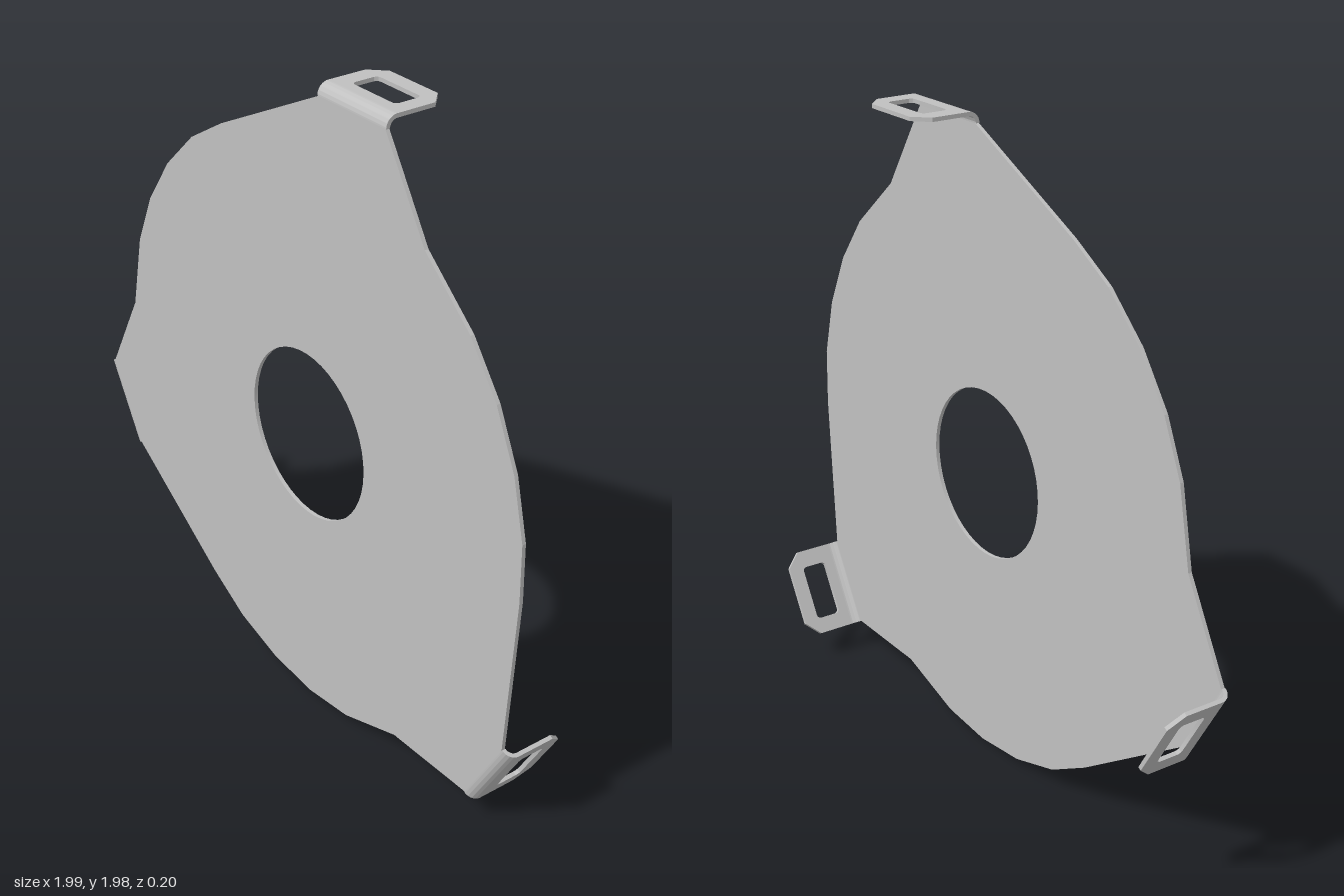
import * as THREE from 'three';
import { toCreasedNormals } from 'three/addons/utils/BufferGeometryUtils.js';

const CX = 0.0925, CY = 0.91;         // centre of the three-fold symmetry
const T = 0.012, R = 0.035;           // sheet thickness, outer bend radius
const X0 = 0.047, X1 = 0.33, TOP = 1.07; // tab edges and height, from the centre
const FRONT = 0.1;
const THIRD = Math.PI * 2 / 3;

const points = list => list.map(([x, y]) => new THREE.Vector2(x, y));
const extrude = (shape, depth) => new THREE.ExtrudeGeometry(shape, { depth, bevelEnabled: false, curveSegments: 24 });

// Flat disc with three pointed shoulders and a round centre hole
function plateGeometry() {
  const third = points([
    [X1 - 0.003, TOP - R], [X0 + 0.004, TOP - R], [-0.4, 0.812], [-0.552, 0.721], [-0.687, 0.593],
    [-0.793, 0.443], [-0.865, 0.278], [-0.912, 0.04], [-0.935, -0.002],
  ]);
  const outline = [];
  for (let i = 0; i < 3; i++) {
    for (const p of third) outline.push(p.clone().rotateAround(new THREE.Vector2(), i * THIRD));
  }
  const shape = new THREE.Shape(outline);
  shape.holes.push(new THREE.Path().absarc(0, 0, 0.26, 0, Math.PI * 2, true));
  return toCreasedNormals(extrude(shape, T), 0.2).translate(0, 0, FRONT - T);
}

// Quarter-round fold between plate and tab
function bendGeometry() {
  const s = new THREE.Shape();
  s.absarc(R - FRONT, TOP - R, R, Math.PI, Math.PI / 2, true);
  s.absarc(R - FRONT, TOP - R, R - T, Math.PI / 2, Math.PI, false);
  return toCreasedNormals(extrude(s, X1 - X0), 0.6).rotateY(Math.PI / 2).translate(X0, 0, 0);
}

// Backward tab with clipped corners and a rounded slot
function tabGeometry() {
  const c = 0.045, back = 0.1;
  const s = new THREE.Shape(points([
    [X0, R - FRONT], [X1, R - FRONT], [X1, back - c], [X1 - c, back], [X0 + c, back], [X0, back - c],
  ]));
  const a = 0.102, b = 0.28, d = -0.032, e = 0.052, r = 0.014;
  const slot = new THREE.Path();
  slot.absarc(a + r, d + r, r, Math.PI, Math.PI * 1.5);
  slot.absarc(b - r, d + r, r, Math.PI * 1.5, Math.PI * 2);
  slot.absarc(b - r, e - r, r, 0, Math.PI / 2);
  slot.absarc(a + r, e - r, r, Math.PI / 2, Math.PI);
  slot.closePath();
  s.holes.push(slot);
  return toCreasedNormals(extrude(s, T), 0.6).rotateX(-Math.PI / 2).translate(0, TOP - T, 0);
}

export function createModel() {
  const steel = new THREE.MeshStandardMaterial({ color: 0xc0c0c0 });
  steel.name = 'greySteel';
  const model = new THREE.Group();
  model.name = 'mountingPlate';

  const add = (parent, geometry, name) => {
    const mesh = new THREE.Mesh(geometry, steel);
    mesh.name = name;
    parent.add(mesh);
  };

  const body = new THREE.Group();
  body.name = 'plateBody';
  body.position.set(CX, CY, 0);
  model.add(body);
  add(body, plateGeometry(), 'plate');

  // Three folded tabs around the centre
  const bend = bendGeometry(), tab = tabGeometry();
  ['topTab', 'rightTab', 'leftTab'].forEach((name, i) => {
    const bracket = new THREE.Group();
    bracket.name = name;
    bracket.rotation.z = i * THIRD;
    add(bracket, bend, 'tabBend');
    add(bracket, tab, 'slottedTab');
    body.add(bracket);
  });
  return model;
}
